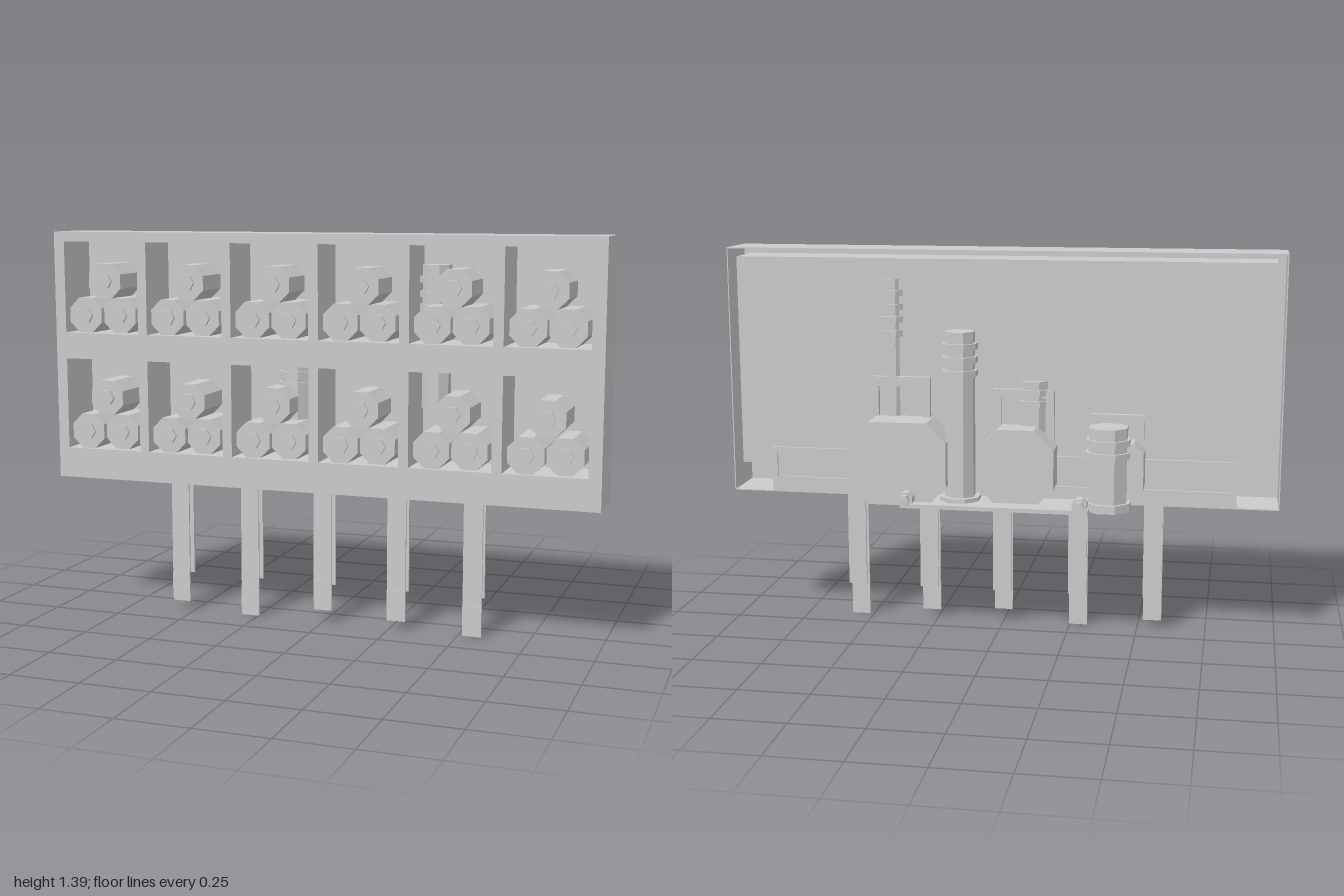
import * as THREE from 'three';

const mat = new THREE.MeshStandardMaterial({ color: 0xcccccc, flatShading: true, side: THREE.DoubleSide });

function add(parent, name, geo, x = 0, y = 0, z = 0) {
  const m = new THREE.Mesh(geo, mat);
  m.name = name;
  m.position.set(x, y, z);
  parent.add(m);
  return m;
}

// Box given by its limits
function box(parent, name, x0, x1, y0, y1, z0, z1) {
  return add(parent, name, new THREE.BoxGeometry(x1 - x0, y1 - y0, z1 - z0),
    (x0 + x1) / 2, (y0 + y1) / 2, (z0 + z1) / 2);
}

function rect(Type, x0, x1, y0, y1) {
  const p = new Type();
  p.moveTo(x0, y0);
  p.lineTo(x1, y0);
  p.lineTo(x1, y1);
  p.lineTo(x0, y1);
  p.closePath();
  return p;
}

// Rectangular plate with rectangular holes, between two depths
function plate(parent, name, outer, holes, z0, z1) {
  const s = rect(THREE.Shape, ...outer);
  holes.forEach(h => s.holes.push(rect(THREE.Path, ...h)));
  return add(parent, name, new THREE.ExtrudeGeometry(s, { depth: z1 - z0, bevelEnabled: false }), 0, 0, z0);
}

// Block with eight corners seen from behind
function chamferBlock(parent, name, x0, x1, y0, y1, c, z0, z1) {
  const pts = [[x0 + c, y0], [x1 - c, y0], [x1, y0 + c], [x1, y1 - c],
    [x1 - c, y1], [x0 + c, y1], [x0, y1 - c], [x0, y0 + c]];
  const s = new THREE.Shape(pts.map(p => new THREE.Vector2(...p)));
  return add(parent, name, new THREE.ExtrudeGeometry(s, { depth: z1 - z0, bevelEnabled: false }), 0, 0, z0);
}

// Upright eight-sided post, optionally with ribs and a foot
function post(parent, name, x, z, y0, y1, r, ribs, foot) {
  const g = new THREE.Group();
  g.name = name;
  parent.add(g);
  const ring = (n, rad, a, b) => {
    const geo = new THREE.CylinderGeometry(rad, rad, b - a, 8);
    geo.rotateY(Math.PI / 8);
    add(g, n, geo, x, (a + b) / 2, z);
  };
  ring('stem', r, y0, y1);
  ribs.forEach(y => ring('rib', r + 0.011, y - 0.011, y + 0.011));
  if (foot) ring('foot', foot, y0, y0 + 0.03);
}

// Prism lying along z
function prism(parent, name, sides, r, x, y, z0, z1) {
  const geo = new THREE.CylinderGeometry(r, r, z1 - z0, sides);
  geo.rotateY(Math.PI / sides);
  geo.rotateX(Math.PI / 2);
  add(parent, name, geo, x, y, (z0 + z1) / 2);
}

export function createModel() {
  const root = new THREE.Group();
  root.name = 'cellPanel';

  // Housing: thin outer shell, front grid, inner cell block and back panel
  const cells = [];
  const columns = [-0.815, -0.49, -0.165, 0.16, 0.485, 0.81];
  const rows = [0.6, 1.025];
  for (const y of rows) for (const x of columns) cells.push([x - 0.145, x + 0.145, y, y + 0.33]);
  const housing = new THREE.Group();
  housing.name = 'housing';
  root.add(housing);
  plate(housing, 'outerShell', [-1, 1, 0.49, 1.39], [[-0.996, 0.996, 0.494, 1.386]], 0, 0.19);
  plate(housing, 'frontGrid', [-1, 1, 0.49, 1.39], cells, 0.185, 0.2);
  plate(housing, 'cellBlock', [-0.965, 0.965, 0.597, 1.358], cells, 0.012, 0.186);
  box(housing, 'backPanel', -0.965, 0.965, 0.597, 1.358, 0.004, 0.012);

  // Three octagonal tubes with hexagonal tips in each cell
  const tubes = [[0, 0.187, 0.17], [-0.065, 0.065, 0.196], [0.065, 0.065, 0.182]];
  for (const y of rows) for (const x of columns) {
    const cell = new THREE.Group();
    cell.name = 'tubeTrio';
    root.add(cell);
    for (const [dx, dy, z] of tubes) {
      prism(cell, 'tube', 8, 0.068, x + dx, y + dy, 0.01, z);
      prism(cell, 'tip', 6, 0.03, x + dx, y + dy, z, z + 0.01);
    }
  }

  // Two rows of flat pins
  const pinEnds = [0.03, 0, 0.045, 0.03, 0];
  [-0.555, -0.28, 0, 0.275, 0.55].forEach((x, i) => {
    box(root, 'frontPin', x - 0.034, x + 0.034, pinEnds[i], 0.495, 0.104, 0.111);
    box(root, 'frontPinTip', x - 0.034, x + 0.034, pinEnds[i] + 0.03, pinEnds[i] + 0.11, 0.108, 0.114);
    box(root, 'backPin', x - 0.034, x + 0.034, 0.13, 0.495, 0.062, 0.07);
  });

  // Rail and base shelf along the back
  box(root, 'rail', -0.85, 0.85, 0.494, 0.66, 0.002, 0.02);
  plate(root, 'railLip', [-0.85, 0.85, 0.494, 0.66], [[-0.83, 0.83, 0.55, 0.645]], -0.006, 0.004);
  box(root, 'baseShelf', -0.34, 0.33, 0.49, 0.505, -0.175, 0.01);

  // Knobs on the shelf corners
  for (const x of [-0.31, 0.31]) {
    prism(root, 'knobBody', 8, 0.028, x, 0.52, -0.178, -0.13);
    prism(root, 'knobTip', 6, 0.02, x, 0.522, -0.205, -0.175);
  }

  // Chamfered machine blocks
  chamferBlock(root, 'largeBlock', 0.17, 0.52, 0.49, 0.79, 0.07, -0.135, 0.01);
  chamferBlock(root, 'smallBlock', -0.21, 0.06, 0.49, 0.77, 0.07, -0.105, 0.01);
  chamferBlock(root, 'sideBlock', -0.525, -0.42, 0.53, 0.73, 0.035, -0.085, 0.01);

  // Bracket frames behind the posts
  plate(root, 'tallBracket', [0.25, 0.47, 0.6, 0.935], [[0.28, 0.44, 0.63, 0.9]], -0.015, 0.006);
  plate(root, 'middleBracket', [-0.2, 0.02, 0.6, 0.9], [[-0.17, -0.01, 0.63, 0.87]], -0.015, 0.006);
  plate(root, 'endBracket', [-0.52, -0.33, 0.55, 0.82], [[-0.49, -0.36, 0.58, 0.79]], -0.015, 0.006);

  // Ribbed posts, two of them sunk through the panel
  post(root, 'sunkenTallPost', 0.395, 0.04, 0.79, 1.285, 0.051, [1.09, 1.14, 1.185, 1.235], 0);
  post(root, 'sunkenShortPost', -0.125, 0.03, 0.6, 0.93, 0.058, [0.85, 0.89], 0);
  post(root, 'tallPost', 0.13, -0.067, 0.49, 1.112, 0.055, [0.965, 1.013, 1.06], 0.075);
  post(root, 'shortPost', -0.4, -0.072, 0.49, 0.787, 0.072, [0.69, 0.735], 0.085);

  return root;
}
